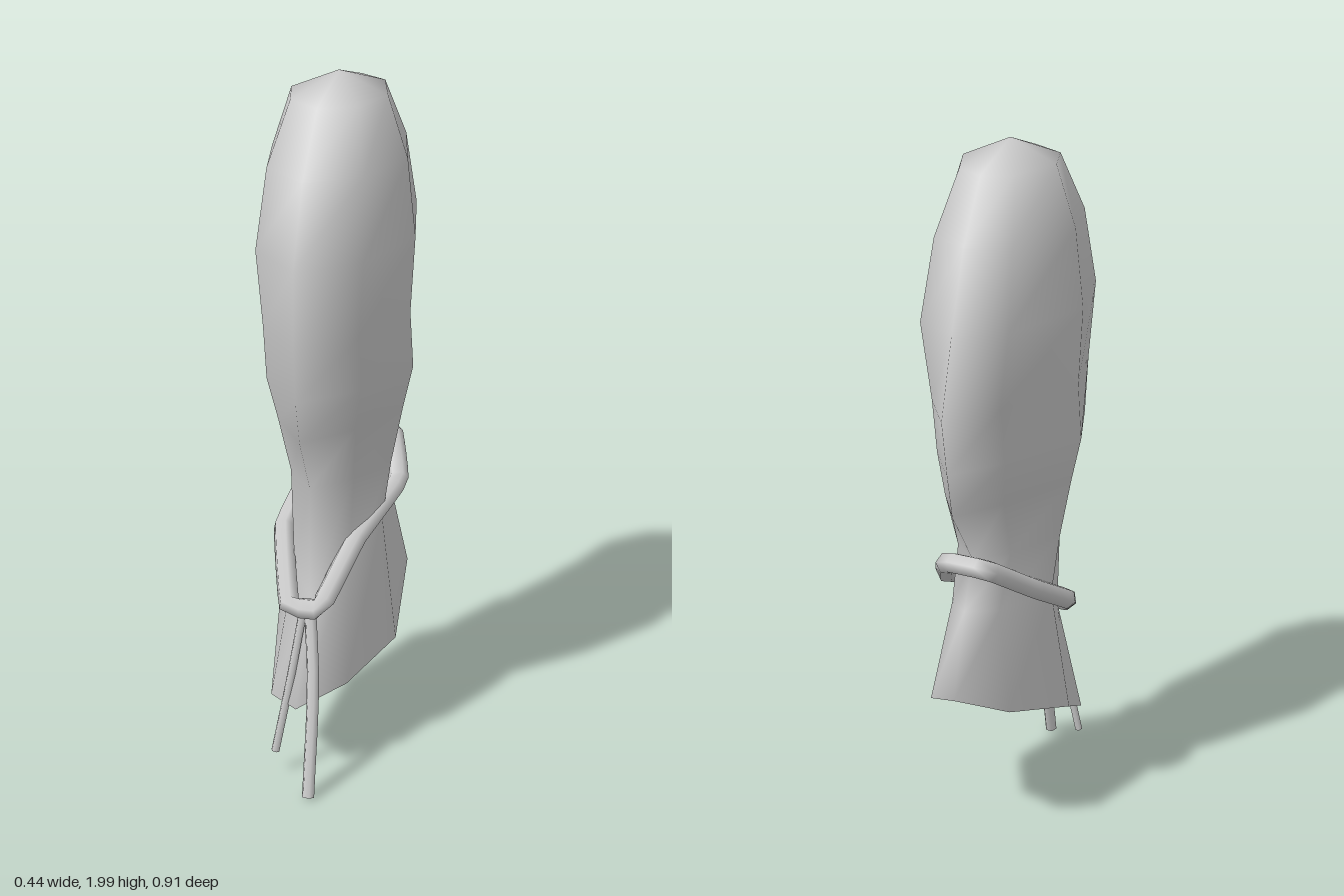
import * as THREE from 'three';

const grey = new THREE.MeshStandardMaterial({ color: 0xcccccc });
const V = (x, y, z) => new THREE.Vector3(x, y, z);

// Eight-sided pouch ring: half width, front and back reach, height at front, side and back,
// and how full the front and back diagonals are
function ring(w, zf, zb, [yf, ys, yb], f = 1, b = 1) {
  const front = V(0.7 * f * w, yf + 0.35 * (ys - yf), zf * 0.65 * f);
  const back = V(0.59 * b * w, ys + 0.7 * (yb - ys), zb * 0.8 * b);
  return [
    V(0, yf, zf), front, V(w, ys, -0.015), back,
    V(0, yb, zb), V(-back.x, back.y, back.z), V(-w, ys, -0.015), V(-front.x, front.y, front.z),
  ];
}

const level = (y) => [y, y, y];

// Smooth closed skin: a first point, the rings in order, a last point
function skin(first, rings, last) {
  const n = rings[0].length, points = [...rings.flat(), first, last], index = [];
  const end = points.length - 1, top = (rings.length - 1) * n;
  for (let j = 0; j < n; j++) {
    const k = (j + 1) % n;
    index.push(end - 1, k, j, top + j, top + k, end);
    for (let i = 0; i < top; i += n) index.push(i + j, i + k, i + n + k, i + j, i + n + k, i + n + j);
  }
  const g = new THREE.BufferGeometry().setFromPoints(points);
  g.setIndex(index);
  g.computeVertexNormals();
  return g;
}

function addMesh(group, name, geometry) {
  const m = new THREE.Mesh(geometry, grey);
  m.name = name;
  group.add(m);
  return m;
}

export function createModel() {
  const model = new THREE.Group();
  model.name = 'tiedPouch';

  // Uneven hem, front centre first and round by the left side
  const hem = [
    V(0, 0.24, 0.36), V(0.11, 0.28, 0.24), V(0.175, 0.315, -0.01), V(0.12, 0.43, -0.29),
    V(0, 0.49, -0.39), V(-0.12, 0.43, -0.28), V(-0.19, 0.345, -0.02), V(-0.115, 0.21, 0.25),
  ];
  // Inside of the skirt, rising to a hollow
  const hollow = hem.map((p) => V(p.x * 0.8, p.y + 0.1, p.z * 0.82 - 0.005));

  // Pouch: hollow flared skirt, slanted neck and flattened bulb
  addMesh(model, 'pouch', skin(V(0, 0.5, -0.02), [
    hollow,
    hem,
    ring(0.13, 0.24, -0.32, [0.53, 0.69, 0.73], 0.9, 0.95),
    ring(0.155, 0.235, -0.265, level(0.87), 0.86, 0.88),
    ring(0.188, 0.315, -0.39, level(1.04), 0.86, 0.8),
    ring(0.217, 0.345, -0.42, level(1.17), 0.9, 0.8),
    ring(0.207, 0.36, -0.45, level(1.33), 0.95, 0.83),
    ring(0.219, 0.357, -0.385, level(1.55)),
    ring(0.195, 0.285, -0.31, level(1.77)),
    ring(0.138, 0.165, -0.2, level(1.94)),
  ], V(0, 2, -0.01)));

  // Cord loop, low at the front and high at the back
  const loop = new THREE.CatmullRomCurve3([
    V(-0.045, 0.53, 0.285), V(0.045, 0.53, 0.285), V(0.095, 0.68, 0.12), V(0.135, 0.755, -0.14),
    V(0.065, 0.857, -0.288), V(-0.06, 0.857, -0.295), V(-0.125, 0.755, -0.14), V(-0.146, 0.65, 0.05),
  ], true, 'catmullrom', 0.12);
  addMesh(model, 'cordLoop', new THREE.TubeGeometry(loop, 40, 0.031, 6, true));

  // Two loose cord tails with closed ends
  const tails = [
    ['leftTail', 0.018, [V(0.01, 0.52, 0.265), V(0.043, 0.32, 0.334), V(0.065, 0.012, 0.44)]],
    ['rightTail', 0.012, [V(-0.008, 0.52, 0.265), V(-0.035, 0.3, 0.309), V(-0.07, 0.082, 0.34)]],
  ];
  for (const [name, r, points] of tails) {
    const path = new THREE.CatmullRomCurve3(points);
    const tail = new THREE.Group();
    tail.name = name;
    addMesh(tail, 'tailCord', new THREE.TubeGeometry(path, 6, r, 6));
    const cap = addMesh(tail, 'tailEnd', new THREE.CircleGeometry(r, 6));
    cap.position.copy(points[2]);
    cap.quaternion.setFromUnitVectors(V(0, 0, 1), path.getTangent(1));
    model.add(tail);
  }
  return model;
}
